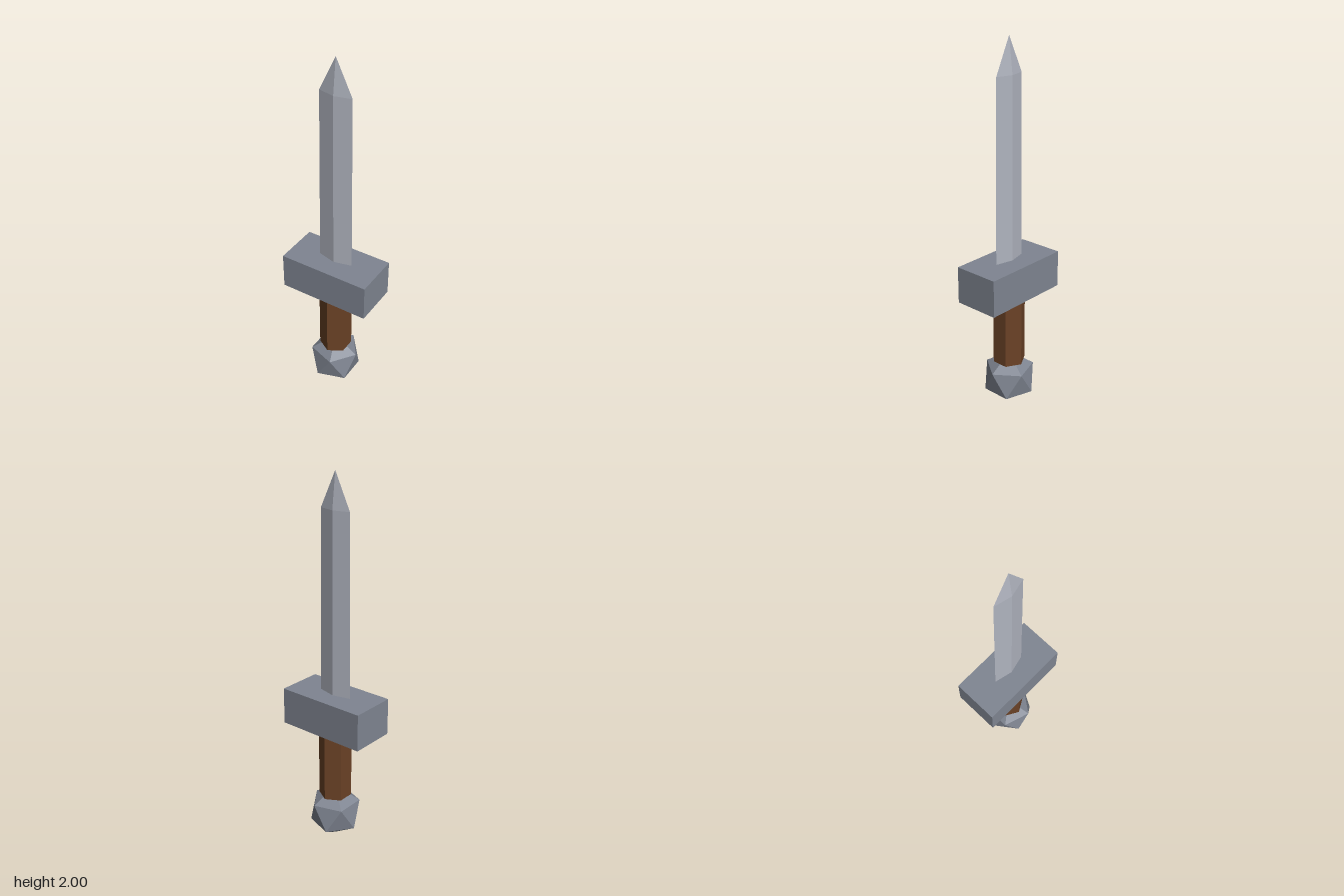
import * as THREE from 'three';

const mat = (color) => new THREE.MeshStandardMaterial({ color, flatShading: true });

export function createModel() {
  const model = new THREE.Group();
  model.name = 'shortSword';
  const steel = mat(0xb0b4bf), iron = mat(0x7f8591), wood = mat(0x6b4226);

  const add = (name, geometry, material, y, parent = model) => {
    const mesh = new THREE.Mesh(geometry, material);
    mesh.name = name;
    mesh.position.y = y;
    parent.add(mesh);
    return mesh;
  };

  // Pommel: icosahedron standing on one corner
  const pommel = new THREE.IcosahedronGeometry(0.15, 0);
  pommel.rotateZ(-Math.atan(2 / (1 + Math.sqrt(5))));
  add('pommel', pommel, iron, 0.15);

  // Hexagonal grip
  const gripBottom = 0.257, guardBottom = 0.655, guardTop = 0.855;
  const gripLength = guardBottom - gripBottom;
  add('grip', new THREE.CylinderGeometry(0.088, 0.088, gripLength, 6), wood, gripBottom + gripLength / 2);

  // Crossguard block
  const guardHeight = guardTop - guardBottom;
  add('guard', new THREE.BoxGeometry(0.5, guardHeight, 0.25), iron, guardBottom + guardHeight / 2);

  // Blade: slightly tapered diamond section with a pointed tip
  const blade = new THREE.Group();
  blade.name = 'blade';
  model.add(blade);
  const shoulder = 1.815, tip = 2, thickness = 0.24;
  const length = shoulder - guardTop;
  const body = new THREE.CylinderGeometry(0.09, 0.098, length, 4, 1, true).scale(1, 1, thickness);
  add('bladeBody', body, steel, guardTop + length / 2, blade);
  const point = new THREE.ConeGeometry(0.09, tip - shoulder, 4, 1, true).scale(1, 1, thickness);
  add('bladeTip', point, steel, (shoulder + tip) / 2, blade);

  return model;
}
